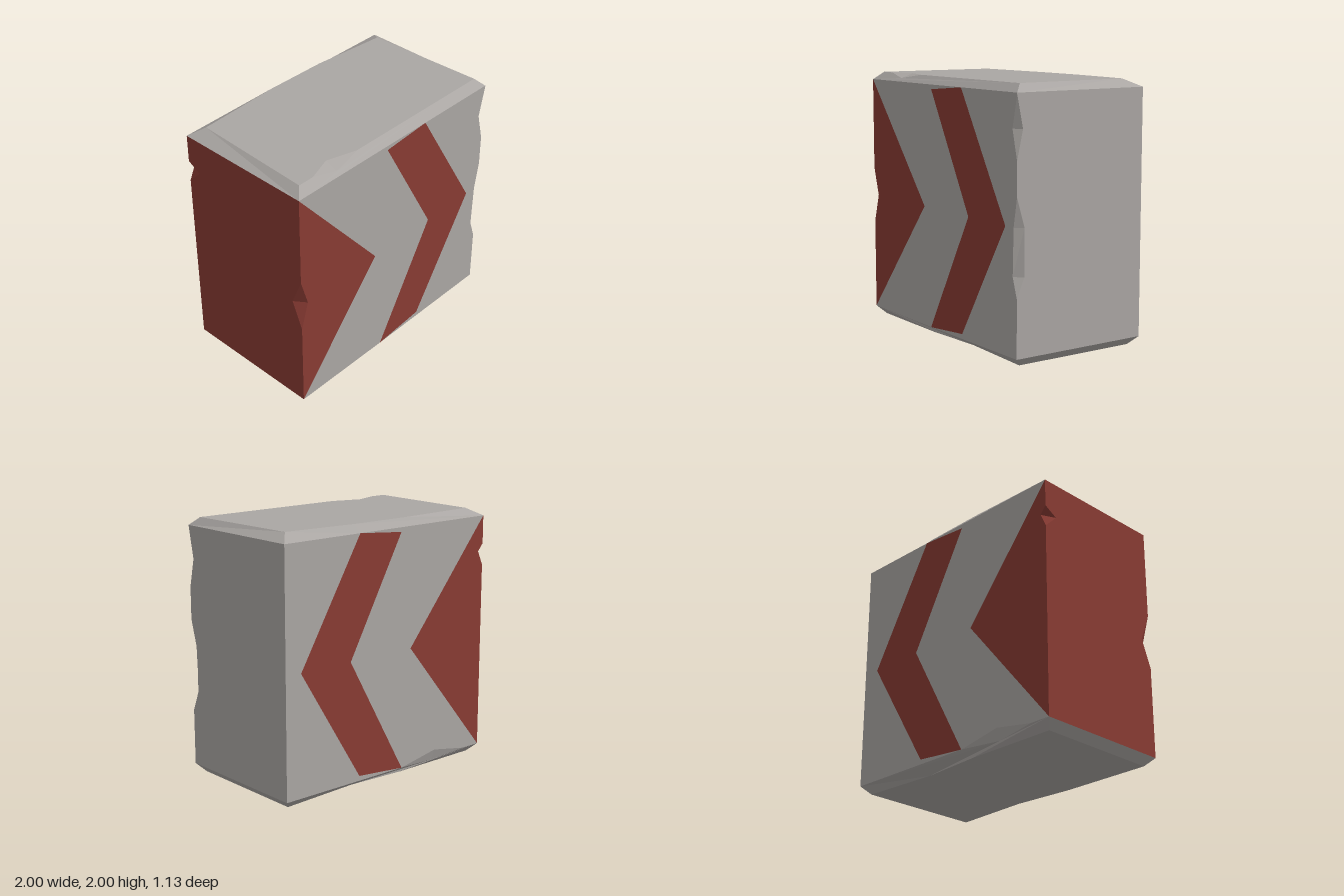
import * as THREE from 'three';

const stone = new THREE.MeshStandardMaterial({ color: 0xaaa6a3 });
stone.name = 'stone grey';
const red = new THREE.MeshStandardMaterial({ color: 0x883b33 });
red.name = 'brick red';

const CENTRE = new THREE.Vector3(0, 1, 0);
const D = 0.565; // half depth

// Triangulates one polygon in its own plane, flat shaded and facing away from the centre
function addPolygon(out, pts) {
  const v = pts.map((p) => new THREE.Vector3(...p));
  const n = new THREE.Vector3();
  v.forEach((a, i) => n.add(new THREE.Vector3().crossVectors(a, v[(i + 1) % v.length])));
  n.normalize();
  const u = new THREE.Vector3(Math.abs(n.x) > 0.8 ? 0 : 1, 0, Math.abs(n.x) > 0.8 ? 1 : 0);
  u.addScaledVector(n, -u.dot(n)).normalize();
  const w = new THREE.Vector3().crossVectors(n, u);
  const flat = v.map((p) => new THREE.Vector2(p.dot(u), p.dot(w)));
  for (const [i, j, k] of THREE.ShapeUtils.triangulateShape(flat, [])) {
    const [a, b, c] = [v[i], v[j], v[k]];
    const t = new THREE.Vector3().crossVectors(b.clone().sub(a), c.clone().sub(a));
    const away = t.dot(a.clone().add(b).add(c).divideScalar(3).sub(CENTRE)) > 0;
    for (const p of away ? [a, b, c] : [a, c, b]) out.push(p.x, p.y, p.z);
  }
}

export function createModel() {
  const model = new THREE.Group();
  model.name = 'chevronBlock';

  const part = (name, material, polygons) => {
    const positions = [];
    polygons.forEach((p) => addPolygon(positions, p));
    const g = new THREE.BufferGeometry();
    g.setAttribute('position', new THREE.Float32BufferAttribute(positions, 3));
    g.computeVertexNormals();
    const mesh = new THREE.Mesh(g, material);
    mesh.name = name;
    model.add(mesh);
  };
  const atZ = (z, pts) => pts.map(([x, y]) => [x, y, z]);
  const atX = (x, pts) => pts.map(([z, y]) => [x, y, z]);
  const atY = (y, pts) => pts.map(([x, z]) => [x, y, z]);

  // Chips in the upright edges, listed from top to bottom:
  // [y, distance cut into the front or back, distance cut into the side]
  const rightChips = [[1.93, 0, 0], [1.69, 0.055, 0.05], [1.47, 0, 0],
    [1.22, 0, 0], [1.0, 0.04, 0.065], [0.65, 0.05, 0.065], [0.5, 0, 0]];
  const leftChip = [[1.22, 0, 0], [1.0, 0.065, 0.09], [0.78, 0, 0]];
  const backChip = [[1.72, 0, 0], [1.66, 0.05, 0.11], [1.55, 0, 0]];
  const onFace = (chips, sx) => chips.map(([y, a]) => [sx * (1 - a), y]);
  const onSide = (chips, sz) => chips.map(([y, , b]) => [sz * (D - b), y]);
  const chipFacets = (chips, sx, sz) => {
    const facets = [];
    for (let i = 0; i + 1 < chips.length; i++) {
      const [[y0, a0, b0], [y1, a1, b1]] = [chips[i], chips[i + 1]];
      if (a0 + a1 === 0) continue;
      const f0 = [sx * (1 - a0), y0, sz * D], s0 = [sx, y0, sz * (D - b0)];
      const f1 = [sx * (1 - a1), y1, sz * D], s1 = [sx, y1, sz * (D - b1)];
      if (a0 > 0) facets.push([f0, s0, f1]);
      if (a1 > 0) facets.push([s0, s1, f1]);
    }
    return facets;
  };

  // Front and back: red wedge, grey chevron, red chevron, grey end
  const backNotch = [[-0.16, 0.063], [-0.5, 0.125], [-0.83, 0.065]];
  const wall = (name, z, left, right, notch) => {
    part(name + 'RedWedge', red, [atZ(z, [[-0.22, 1], [-1, 1.94], ...onFace(left, -1), [-1, 0.065]])]);
    part(name + 'GreyChevron', stone, [atZ(z, [[-1, 1.94], [-0.11, 1.905], [0.39, 1],
      [-0.14, 0.06], ...notch, [-1, 0.065], [-0.22, 1]])]);
    part(name + 'RedChevron', red, [atZ(z, [[-0.11, 1.905], [0.3, 1.94], [0.86, 1],
      [0.3, 0.1], [-0.14, 0.06], [0.39, 1]])]);
    part(name + 'GreyEnd', stone, [atZ(z, [[0.3, 1.94], [1, 1.94], ...onFace(right, 1),
      [1, 0.065], [0.3, 0.1], [0.86, 1]])]);
  };
  wall('front', D, leftChip, rightChips, []);
  wall('back', -D, backChip, [], backNotch);

  // Sides
  const side = (x, front, back) => [atX(x, [[D, 1.94], ...onSide(front, 1), [D, 0.065],
    [-D, 0.065], ...onSide(back, -1).reverse(), [-D, 1.94]])];
  part('greySide', stone, side(1, rightChips, []));
  part('redSide', red, side(-1, leftChip, backChip));
  part('greyEdgeChips', stone, chipFacets(rightChips, 1, 1));
  part('redEdgeChips', red, [...chipFacets(leftChip, -1, 1), ...chipFacets(backChip, -1, -1)]);

  // Top and bottom slabs, inset from the walls by an uneven bevel
  const topFront = [[-0.93, 0.5], [-0.8, 0.5], [-0.6, 0.43], [-0.36, 0.5], [-0.19, 0.5], [0.3, 0.465], [0.94, 0.5]];
  const topBack = [[-0.89, -0.475], [-0.2, -0.51], [0.3, -0.505], [0.9, -0.45]];
  const bottomFront = [[-0.94, 0.5], [-0.19, 0.5], [0.3, 0.465], [0.94, 0.5]];
  const bottomBack = bottomFront.map(([x, z]) => [x, -z]);
  part('top', stone, [atY(2, [...topFront, ...topBack.slice().reverse()])]);
  part('bottom', stone, [atY(0, [...bottomFront, ...bottomBack.slice().reverse()])]);

  // Bevels, each a strip between a wall edge and a slab edge
  const strip = (outer, inner) => [...outer, ...inner.slice().reverse()];
  const topEdge = [[-1, 1.94], [-0.11, 1.905], [0.3, 1.94], [1, 1.94]];
  const bottomEdge = [[-1, 0.065], [-0.14, 0.06], [0.3, 0.1], [1, 0.065]];
  const topDip = [-0.6, 1.965, 0.535], bottomDip = [-0.5, 0.035, -0.535];
  const tf = atY(2, topFront), tb = atY(2, topBack);
  const bf = atY(0, bottomFront), bb = atY(0, bottomBack);
  const notch = atZ(-D, backNotch);
  const backEdge = atZ(-D, bottomEdge);
  const sideStrip = (sx, y, f, b) => [[sx, y, D], [sx, y, -D], b, f];

  part('topBevel', stone, [
    strip(atZ(D, topEdge), [tf[0], tf[1], topDip, ...tf.slice(3)]),
    strip(atZ(-D, topEdge), tb),
    sideStrip(-1, 1.94, tf[0], tb[0]),
    sideStrip(1, 1.94, tf[6], tb[3]),
  ]);
  part('bottomBevel', stone, [
    strip(atZ(D, bottomEdge), bf),
    strip([backEdge[0], notch[2], bottomDip, notch[0], ...backEdge.slice(1)], bb),
    sideStrip(-1, 0.065, bf[0], bb[0]),
    sideStrip(1, 0.065, bf[3], bb[3]),
  ]);

  // Notches broken out of the bevels
  part('bevelNotches', stone, [
    [tf[1], topDip, tf[2]], [tf[2], topDip, tf[3]],
    [notch[0], notch[1], bottomDip], [notch[1], notch[2], bottomDip],
  ]);
  return model;
}
